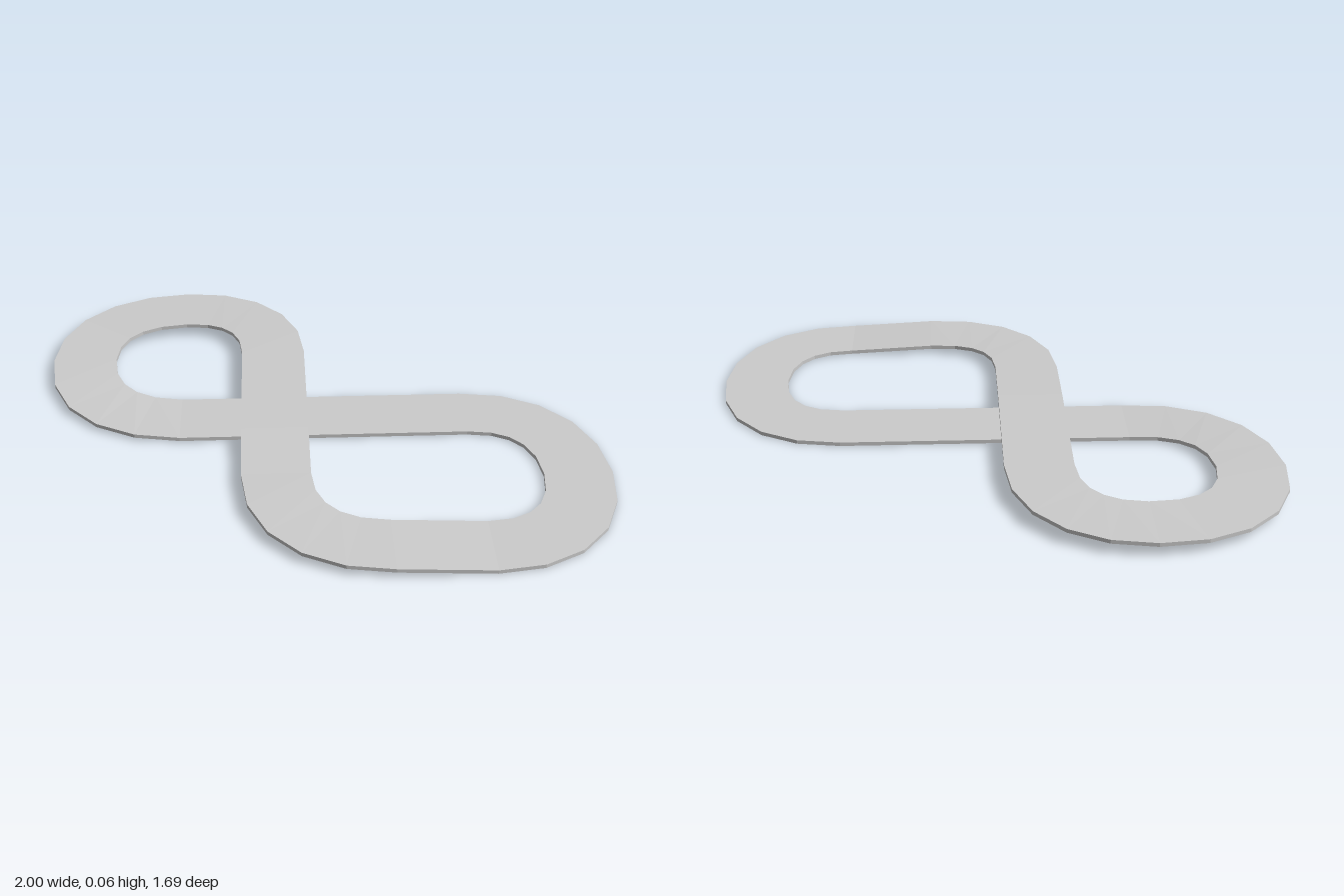
import * as THREE from 'three';

const HALF_WIDTH = 0.119;
const THICKNESS = 0.014;
const BEND_STEPS = 5;
const ROUNDNESS = 0.62;

// Centreline stations in driving order: x, z, underside height, heading (dx, dz)
const STATIONS = [
  [0.53, -0.012, 0, 1, 0],
  [0.88, 0.36, 0, 0, 1],
  [0.53, 0.726, 0.003, -1, 0],
  [0.21, 0.726, 0.02, -1, 0],
  [-0.16, 0.37, 0.037, 0, 1 * -1],
  [-0.16, 0.12, 0.048, 0, -1],
  [-0.16, -0.38, 0.046, 0, -1],
  [-0.5, -0.727, 0.037, -1, 0],
  [-0.881, -0.38, 0.027, 0, 1],
  [-0.5, -0.012, 0.003, 1, 0],
];

// Sample bends as rounded quarter turns; straights need only their ends
function sampleCentreline() {
  const samples = [];
  STATIONS.forEach((a, i) => {
    const b = STATIONS[(i + 1) % STATIONS.length];
    const straight = a[3] === b[3] && a[4] === b[4];
    const reachA = ROUNDNESS * Math.abs((b[0] - a[0]) * a[3] + (b[1] - a[1]) * a[4]);
    const reachB = ROUNDNESS * Math.abs((b[0] - a[0]) * b[3] + (b[1] - a[1]) * b[4]);
    const curve = new THREE.CubicBezierCurve(
      new THREE.Vector2(a[0], a[1]),
      new THREE.Vector2(a[0] + a[3] * reachA, a[1] + a[4] * reachA),
      new THREE.Vector2(b[0] - b[3] * reachB, b[1] - b[4] * reachB),
      new THREE.Vector2(b[0], b[1])
    );
    const steps = straight ? 1 : BEND_STEPS;
    for (let s = 0; s < steps; s++) {
      const t = s / steps;
      const heading = s === 0 ? new THREE.Vector2(a[3], a[4]) : curve.getTangent(t);
      samples.push({ p: curve.getPoint(t), heading, y: THREE.MathUtils.lerp(a[2], b[2], t) });
    }
  });
  return samples;
}

// Closed slab: a rectangular cross-section carried round the centreline
function trackGeometry() {
  const samples = sampleCentreline();
  const positions = [];
  const indices = [];
  samples.forEach(({ p, heading, y }, i) => {
    const sx = -heading.y * HALF_WIDTH;
    const sz = heading.x * HALF_WIDTH;
    for (const [side, h] of [[-1, THICKNESS], [1, THICKNESS], [1, 0], [-1, 0]]) {
      positions.push(p.x + side * sx, y + h, p.y + side * sz);
    }
    const j = (i + 1) % samples.length;
    for (let k = 0; k < 4; k++) {
      const n = (k + 1) % 4;
      indices.push(i * 4 + k, i * 4 + n, j * 4 + n, i * 4 + k, j * 4 + n, j * 4 + k);
    }
  });
  const indexed = new THREE.BufferGeometry();
  indexed.setAttribute('position', new THREE.Float32BufferAttribute(positions, 3));
  indexed.setIndex(indices);
  const geometry = indexed.toNonIndexed();
  geometry.computeVertexNormals();
  return geometry;
}

export function createModel() {
  const model = new THREE.Group();
  model.name = 'figureEightTrack';
  const material = new THREE.MeshStandardMaterial({ color: 0xcccccc, flatShading: true });
  const track = new THREE.Mesh(trackGeometry(), material);
  track.name = 'trackRoadway';
  model.add(track);
  return model;
}
